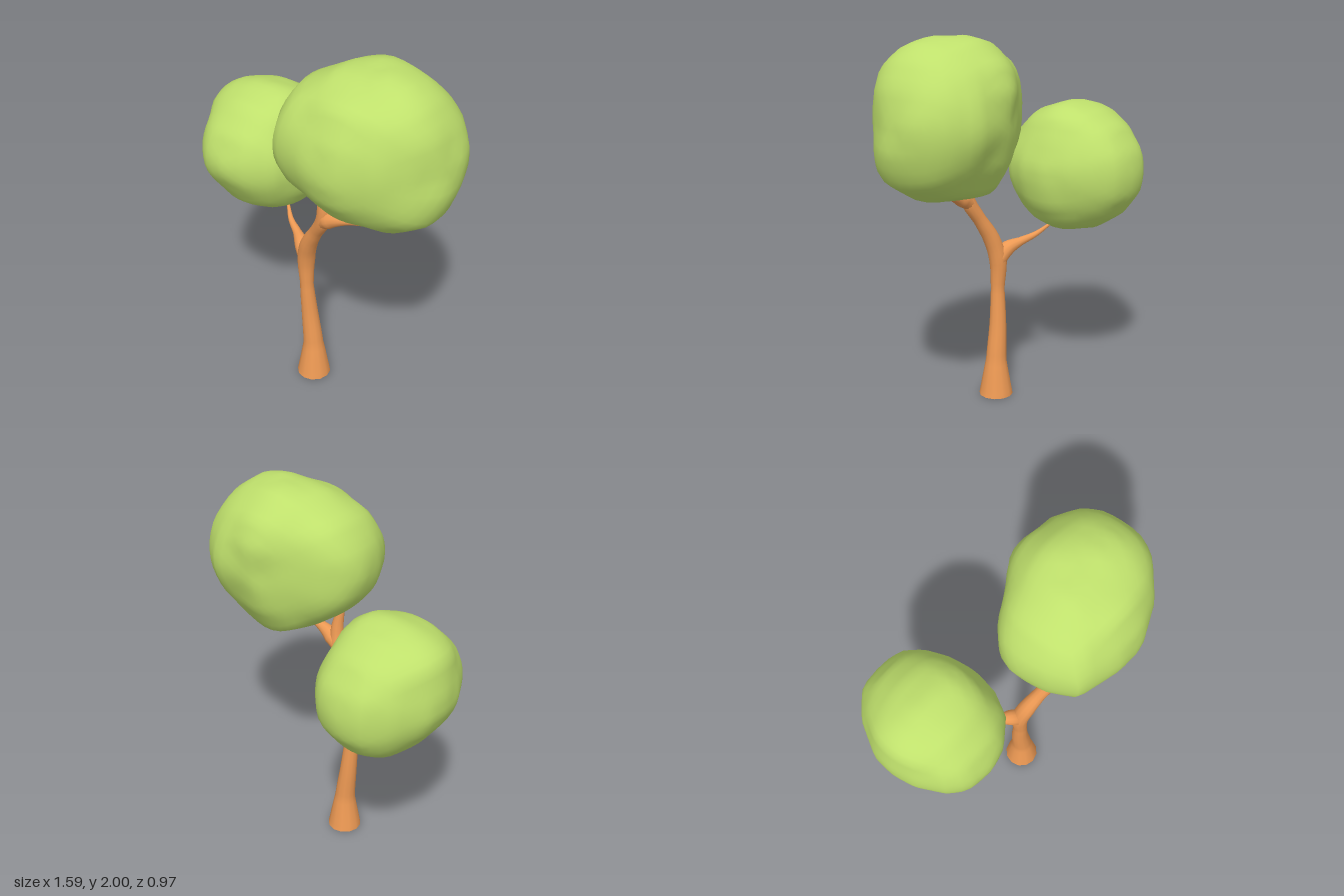
import * as THREE from 'three';
import { mergeVertices } from 'three/addons/utils/BufferGeometryUtils.js';

const bark = new THREE.MeshStandardMaterial({ color: 0xee9a54 });
const leaves = new THREE.MeshStandardMaterial({ color: 0xbfe06c });

// Drop uv seams and recompute smooth normals
function smooth(geometry) {
  geometry.deleteAttribute('uv');
  geometry.deleteAttribute('normal');
  const merged = mergeVertices(geometry, 1e-5);
  merged.computeVertexNormals();
  return merged;
}

// Tapered limb through stations [x, y, z, radius]
function limb(name, stations, segments) {
  const sides = 12;
  const curve = new THREE.CatmullRomCurve3(stations.map(([x, y, z]) => new THREE.Vector3(x, y, z)));
  const geometry = new THREE.TubeGeometry(curve, segments, 1, sides, false);
  const pos = geometry.attributes.position;
  const v = new THREE.Vector3();
  for (let i = 0; i <= segments; i++) {
    const centre = curve.getPointAt(i / segments);
    const k = curve.getUtoTmapping(i / segments) * (stations.length - 1);
    const a = Math.min(Math.floor(k), stations.length - 2);
    const radius = THREE.MathUtils.lerp(stations[a][3], stations[a + 1][3], k - a);
    for (let j = 0; j <= sides; j++) {
      const n = i * (sides + 1) + j;
      v.fromBufferAttribute(pos, n).sub(centre).multiplyScalar(radius).add(centre);
      if (stations[0][1] === 0 && i === 0) v.y = 0; // flat foot on the ground
      pos.setXYZ(n, v.x, v.y, v.z);
    }
  }
  const mesh = new THREE.Mesh(smooth(geometry), bark);
  mesh.name = name;
  return mesh;
}

// Distance from (cu, cv) to a closed outline in direction (du, dv)
function reach(outline, cu, cv, du, dv) {
  let best = 0;
  outline.forEach(([u, w], i) => {
    const [u2, w2] = outline[(i + 1) % outline.length];
    const au = u - cu, av = w - cv, eu = u2 - u, ev = w2 - w;
    const det = du * ev - dv * eu;
    if (Math.abs(det) < 1e-9) return;
    const t = (au * ev - av * eu) / det;
    const s = (au * dv - av * du) / det;
    if (t > 0 && s >= -1e-6 && s <= 1 + 1e-6) best = Math.max(best, t);
  });
  return best;
}

// Rounded foliage mass blended from its front (x,y), side (z,y) and top (x,z) outlines
function crown(name, [cx, cy, cz], front, side, top) {
  const geometry = smooth(new THREE.IcosahedronGeometry(1, 9));
  const pos = geometry.attributes.position;
  const d = new THREE.Vector3();
  for (let i = 0; i < pos.count; i++) {
    d.fromBufferAttribute(pos, i).normalize();
    let sum = 0, total = 0;
    const blend = (outline, cu, cv, du, dv, off) => {
      const len = Math.hypot(du, dv);
      if (len < 1e-4) return;
      const weight = 1 / (off * off + 0.01) - 1 / 1.01;
      sum += weight * reach(outline, cu, cv, du / len, dv / len);
      total += weight;
    };
    blend(front, cx, cy, d.x, d.y, d.z);
    blend(side, cz, cy, d.z, d.y, d.x);
    blend(top, cx, cz, d.x, d.z, d.y);
    d.multiplyScalar(sum / total);
    pos.setXYZ(i, cx + d.x, cy + d.y, cz + d.z);
  }
  geometry.computeVertexNormals();
  const mesh = new THREE.Mesh(geometry, leaves);
  mesh.name = name;
  return mesh;
}

export function createModel() {
  const tree = new THREE.Group();
  tree.name = 'tree';

  // Trunk sweeping up into the main limb
  tree.add(limb('trunk', [
    [-0.015, 0, 0.1, 0.092], [-0.018, 0.2, 0.1, 0.056], [-0.038, 0.4, 0.103, 0.046],
    [-0.05, 0.6, 0.112, 0.037], [-0.052, 0.76, 0.112, 0.048], [-0.02, 0.88, 0.13, 0.046],
    [0.05, 1.0, 0.155, 0.036], [0.115, 1.11, 0.18, 0.04], [0.125, 1.2, 0.19, 0.034], [0.105, 1.32, 0.2, 0.018],
  ], 48));

  const foot = new THREE.Mesh(new THREE.CircleGeometry(0.092, 12), bark);
  foot.name = 'trunkBase';
  foot.rotation.x = Math.PI / 2;
  foot.position.set(-0.015, 0, 0.1);
  tree.add(foot);

  // Side branches
  tree.add(limb('upperBranch', [
    [0.1, 1.09, 0.175, 0.036], [0.155, 1.13, 0.185, 0.046], [0.21, 1.155, 0.19, 0.034],
    [0.29, 1.178, 0.19, 0.018], [0.42, 1.205, 0.19, 0.007],
  ], 20));
  tree.add(limb('lowerBranch', [
    [-0.05, 0.76, 0.11, 0.044], [-0.1, 0.815, 0.085, 0.042], [-0.165, 0.845, 0.045, 0.024],
    [-0.245, 0.875, 0, 0.015], [-0.31, 0.93, -0.055, 0.007],
  ], 20));

  // Foliage
  tree.add(crown('upperCrown', [0.34, 1.6, 0.115],
    [[-0.12, 1.6], [-0.1, 1.72], [-0.01, 1.86], [0.19, 1.97], [0.44, 2], [0.57, 1.97], [0.67, 1.9], [0.745, 1.78],
      [0.8, 1.48], [0.74, 1.32], [0.56, 1.21], [0.4, 1.19], [0.15, 1.26], [0, 1.37], [-0.08, 1.47]],
    [[0.49, 1.55], [0.46, 1.73], [0.38, 1.89], [0.2, 1.97], [0.03, 2], [-0.07, 1.98], [-0.2, 1.87], [-0.255, 1.75],
      [-0.255, 1.58], [-0.2, 1.38], [-0.11, 1.23], [0.03, 1.19], [0.22, 1.22], [0.36, 1.3], [0.45, 1.42]],
    [[-0.12, 0.1], [-0.08, 0.28], [0, 0.42], [0.23, 0.487], [0.4, 0.48], [0.58, 0.4], [0.7, 0.28], [0.77, 0.15],
      [0.8, 0.02], [0.77, -0.08], [0.7, -0.17], [0.56, -0.26], [0.4, -0.255], [0.2, -0.19], [0, -0.08], [-0.08, 0]]));
  tree.add(crown('lowerCrown', [-0.47, 1.235, -0.1],
    [[-0.8, 1.3], [-0.765, 1.47], [-0.73, 1.51], [-0.66, 1.55], [-0.55, 1.58], [-0.43, 1.59], [-0.33, 1.575],
      [-0.25, 1.52], [-0.19, 1.4], [-0.145, 1.27], [-0.14, 1.18], [-0.165, 1.06], [-0.24, 0.95], [-0.33, 0.9],
      [-0.45, 0.88], [-0.56, 0.9], [-0.67, 0.99], [-0.75, 1.1], [-0.79, 1.2]],
    [[-0.08, 1.59], [-0.25, 1.55], [-0.37, 1.47], [-0.46, 1.34], [-0.487, 1.2], [-0.47, 1.11], [-0.38, 0.99],
      [-0.26, 0.91], [-0.1, 0.88], [0.03, 0.9], [0.14, 0.97], [0.2, 1.06], [0.27, 1.18], [0.28, 1.25],
      [0.22, 1.4], [0.1, 1.53]],
    [[-0.8, -0.08], [-0.79, -0.19], [-0.7, -0.36], [-0.58, -0.47], [-0.45, -0.49], [-0.32, -0.46], [-0.23, -0.37],
      [-0.17, -0.25], [-0.14, -0.1], [-0.16, 0.04], [-0.22, 0.16], [-0.34, 0.25], [-0.47, 0.285], [-0.61, 0.26],
      [-0.69, 0.19], [-0.77, 0.05]]));

  return tree;
}
